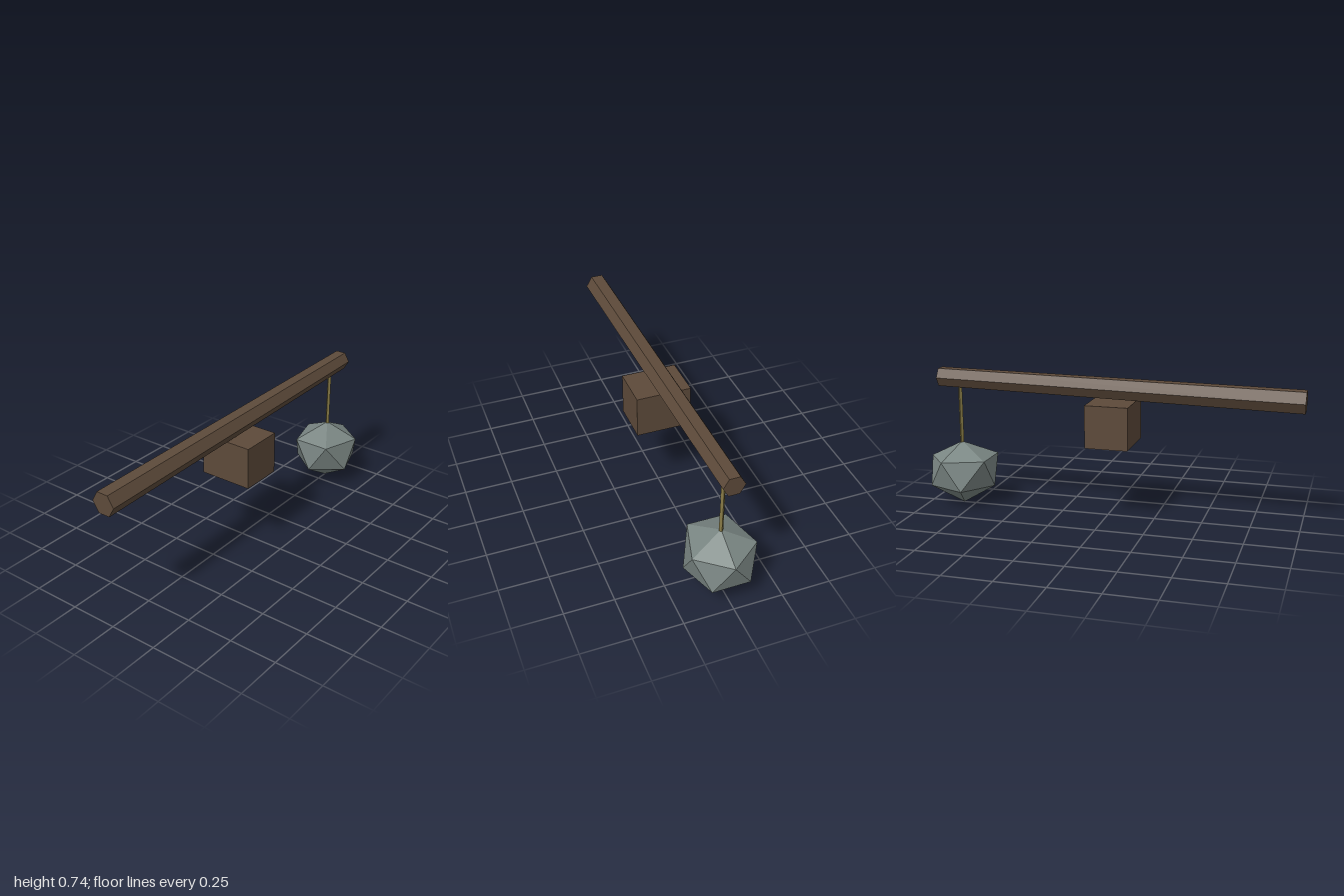
import * as THREE from 'three';

const material = (name, color) => {
  const m = new THREE.MeshStandardMaterial({ color });
  m.name = name;
  m.flatShading = true;
  return m;
};

// Faceted boulder: two poles joined by two staggered rings of five corners
function boulderGeometry() {
  const top = [0, 0.345, 0], bottom = [0, 0, 0];
  const upper = [[0.178, 0.255, 0], [0.054, 0.26, -0.163], [-0.165, 0.266, -0.1],
    [-0.165, 0.266, 0.1], [0.054, 0.26, 0.163]];
  const lower = [[0.146, 0.111, -0.097], [-0.052, 0.106, -0.163], [-0.181, 0.108, 0],
    [-0.052, 0.106, 0.163], [0.146, 0.109, 0.097]];
  const points = [];
  for (let i = 0; i < 5; i++) {
    const j = (i + 1) % 5;
    points.push(
      top, upper[i], upper[j],
      upper[i], lower[i], upper[j],
      upper[j], lower[i], lower[j],
      bottom, lower[j], lower[i],
    );
  }
  const geometry = new THREE.BufferGeometry();
  geometry.setAttribute('position', new THREE.Float32BufferAttribute(points.flat(), 3));
  geometry.computeVertexNormals();
  return geometry;
}

export function createModel() {
  const group = new THREE.Group();
  const wood = material('dark wood', 0x5d4a3a);
  const rope = material('rope', 0x877a45);
  const stone = material('grey stone', 0x7a8683);

  const add = (name, geometry, mat, x, y, z = 0) => {
    const mesh = new THREE.Mesh(geometry, mat);
    mesh.name = name;
    mesh.position.set(x, y, z);
    group.add(mesh);
    return mesh;
  };

  // Tapered six-sided beam, slightly raised at the +x end
  const beam = add('beam', new THREE.CylinderGeometry(0.054, 0.0625, 1.93, 6), wood, -0.035, 0.681);
  beam.rotation.z = -Math.PI / 2 + 0.015;

  // Pivot block under the beam
  add('pivotBlock', new THREE.BoxGeometry(0.225, 0.222, 0.286), wood, -0.028, 0.504);

  // Square rope and its hanging weight
  add('rope', new THREE.CylinderGeometry(0.011, 0.011, 0.34, 4), rope, 0.818, 0.5);
  add('boulder', boulderGeometry(), stone, 0.818, 0);

  return group;
}
